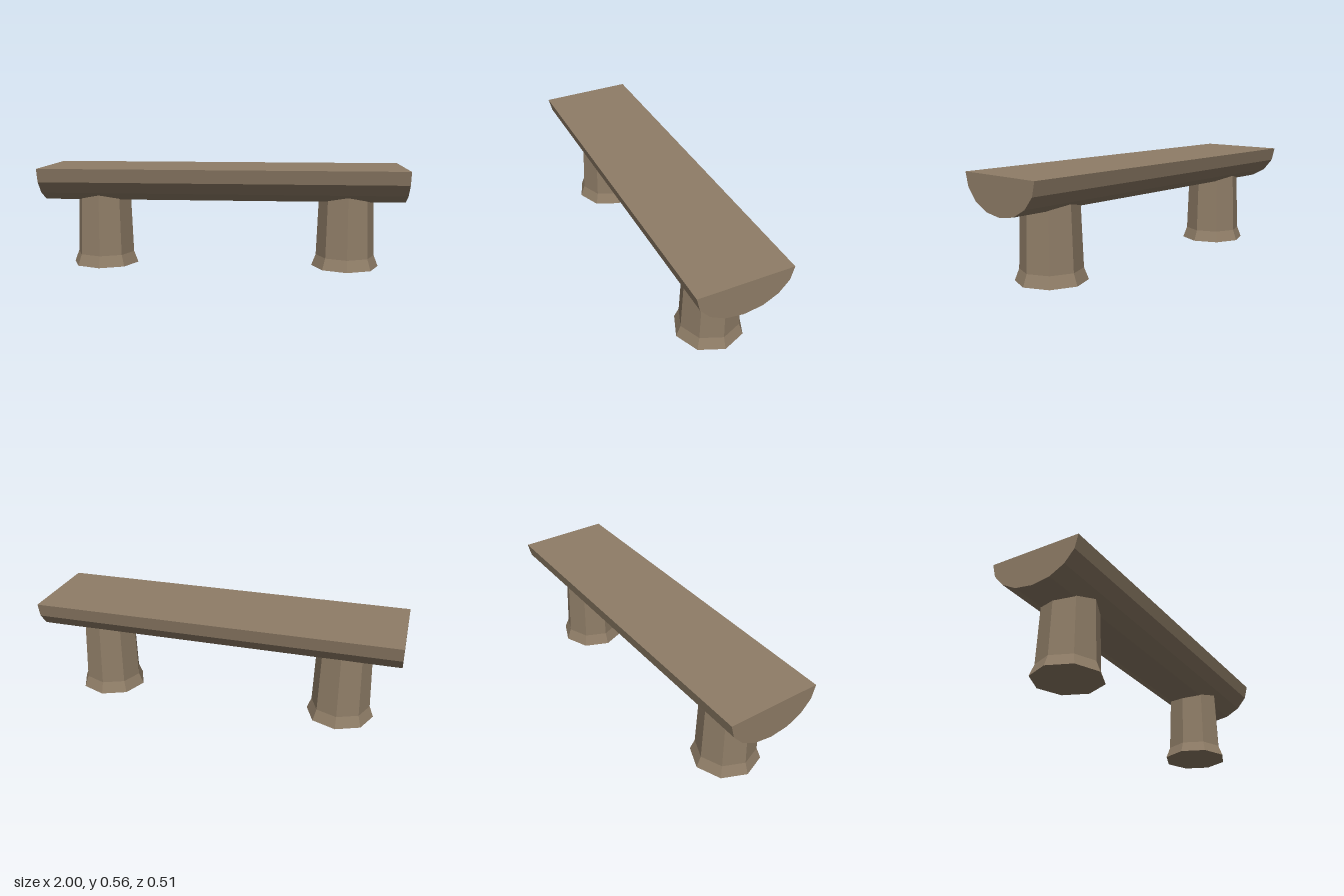
import * as THREE from 'three';

export function createModel() {
  const bench = new THREE.Group();
  bench.name = 'bench';
  const wood = new THREE.MeshStandardMaterial({ color: 0x8f7d67, flatShading: true });
  wood.name = 'brown wood';

  // Seat: half log with a flat top, extruded along x
  const half = [[0.256, 0.562], [0.237, 0.487], [0.182, 0.423], [0.1, 0.379]];
  const mirrored = half.map(([z, y]) => [-z, y]).reverse();
  const outline = [...half, [0, 0.364], ...mirrored].map(([z, y]) => new THREE.Vector2(z, y));
  const seatGeometry = new THREE.ExtrudeGeometry(new THREE.Shape(outline), { depth: 2, bevelEnabled: false });
  seatGeometry.translate(0, 0, -1).rotateY(Math.PI / 2);
  const seat = new THREE.Mesh(seatGeometry, wood);
  seat.name = 'seat';
  bench.add(seat);

  // Legs: tapered octagonal stumps with flared feet, sunk into the seat
  const profile = [[0, 0], [0.187, 0], [0.163, 0.063], [0.149, 0.45], [0, 0.45]]
    .map(([r, y]) => new THREE.Vector2(r, y));
  const legGeometry = new THREE.LatheGeometry(profile, 8);
  for (const side of [-1, 1]) {
    const leg = new THREE.Mesh(legGeometry, wood);
    leg.name = side > 0 ? 'leftLeg' : 'rightLeg';
    leg.position.x = side * 0.687;
    bench.add(leg);
  }
  return bench;
}
